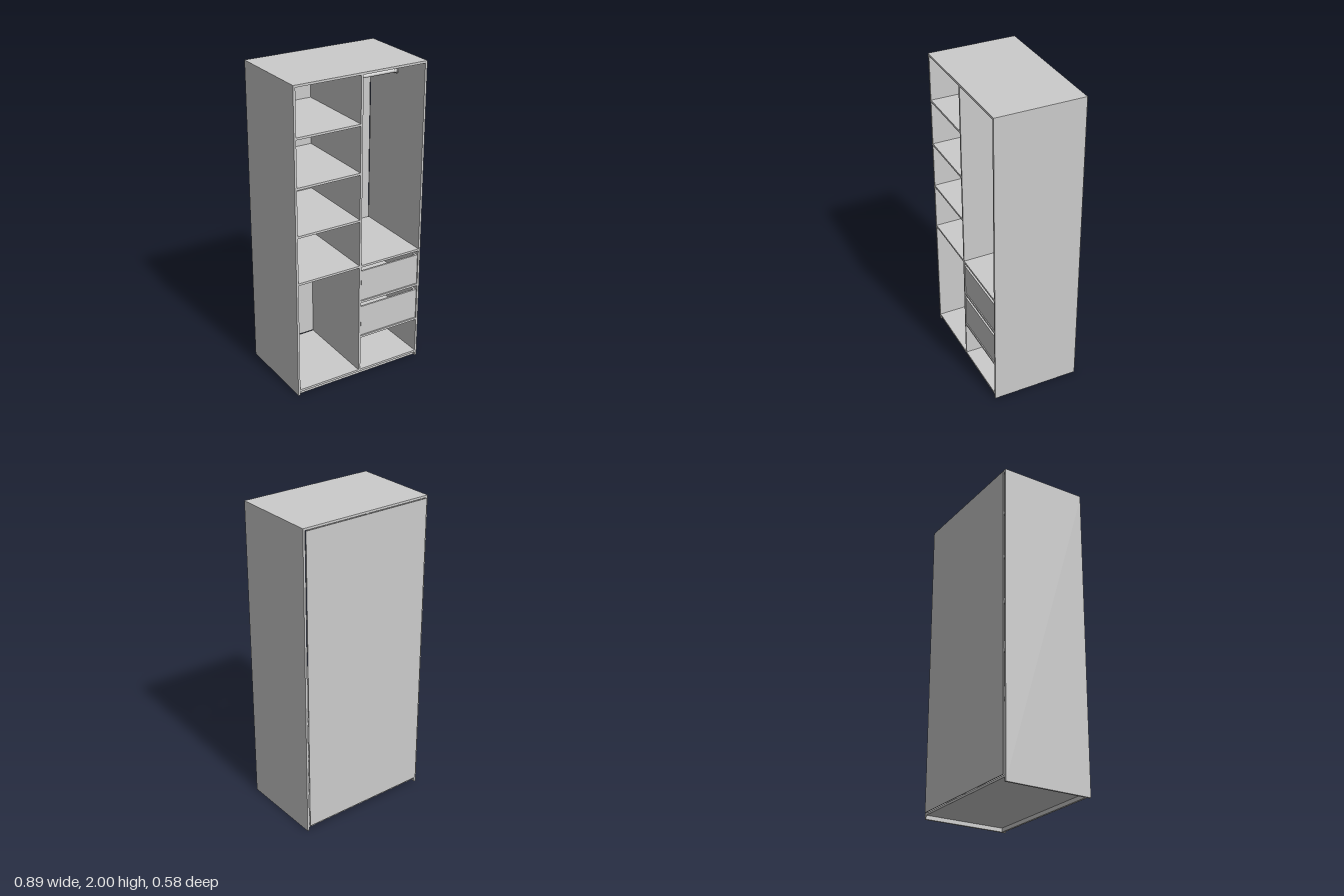
import * as THREE from 'three';

const material = new THREE.MeshStandardMaterial({ color: 0xcccccc });
const T = 0.014;               // board thickness
const W = 0.447;               // half width
const IN = W - T;              // inner half width
const ZB = -0.28, ZF = 0.287;  // carcass back and front

// Box given by its limits on each axis
function board(parent, name, x0, x1, y0, y1, z0, z1) {
  const mesh = new THREE.Mesh(new THREE.BoxGeometry(x1 - x0, y1 - y0, z1 - z0), material);
  mesh.position.set((x0 + x1) / 2, (y0 + y1) / 2, (z0 + z1) / 2);
  mesh.name = name;
  parent.add(mesh);
}

function cylinderX(parent, name, x0, x1, y, r) {
  const geometry = new THREE.CylinderGeometry(r, r, x1 - x0, 24).rotateZ(Math.PI / 2);
  const mesh = new THREE.Mesh(geometry, material);
  mesh.position.set((x0 + x1) / 2, y, 0);
  mesh.name = name;
  parent.add(mesh);
}

// Hanging rod with a stepped holder at each end
function hangingRod(x0, x1, y) {
  const group = new THREE.Group();
  group.name = 'hangingRod';
  cylinderX(group, 'rod', x0 + 0.004, x1 - 0.004, y, 0.011);
  for (const [a, s] of [[x0, 1], [x1, -1]]) {
    const span = (d) => [Math.min(a, a + s * d), Math.max(a, a + s * d)];
    cylinderX(group, 'rodFlange', ...span(0.005), y, 0.019);
    cylinderX(group, 'rodSocket', ...span(0.02), y, 0.014);
  }
  return group;
}

// Open-topped drawer
function drawer(y0, y1) {
  const group = new THREE.Group();
  group.name = 'drawer';
  const x0 = 0.01, x1 = 0.43, front = ZF - 0.004, back = ZB + 0.02, t = 0.012;
  board(group, 'drawerFront', x0, x1, y0, y1, front - t, front);
  board(group, 'drawerBack', x0 + t, x1 - t, y0, y1, back, back + t);
  board(group, 'drawerSideRight', x0, x0 + t, y0, y1, back, front - t);
  board(group, 'drawerSideLeft', x1 - t, x1, y0, y1, back, front - t);
  board(group, 'drawerBottom', x0 + t, x1 - t, y0 + 0.002, y0 + 0.01, back + t, front - t);
  return group;
}

export function createModel() {
  const model = new THREE.Group();
  model.name = 'wardrobe';

  // Carcass
  board(model, 'topPanel', -W, W, 2 - T, 2, ZB, ZF);
  board(model, 'sideRight', -W, -IN, 0, 2 - T, ZB, ZF);
  board(model, 'sideLeft', IN, W, 0, 2 - T, ZB, ZF);
  board(model, 'bottomPanel', -IN, IN, 0.025, 0.025 + T, ZB, ZF);
  board(model, 'plinth', -IN, IN, 0, 0.025, ZF - 0.03, ZF - 0.016);
  board(model, 'divider', -T / 2, T / 2, 0.025 + T, 2 - T, ZB, ZF);
  board(model, 'backPanel', -IN, IN, 0.039, 2 - T, -0.29, -0.284);

  // Shelves, given by their top height
  for (const y of [1.697, 1.395, 1.092, 0.784]) {
    board(model, 'shelfRight', -IN, -T / 2, y - T, y, ZB, ZF);
  }
  for (const y of [0.784, 0.536, 0.286]) {
    board(model, 'shelfLeft', T / 2, IN, y - T, y, ZB, ZF);
  }

  // Drawers resting on the lower shelves
  model.add(drawer(0.54, 0.742), drawer(0.29, 0.494));

  // Hanging rods
  model.add(hangingRod(T / 2, IN, 1.87), hangingRod(-IN, -T / 2, 0.688));

  return model;
}
